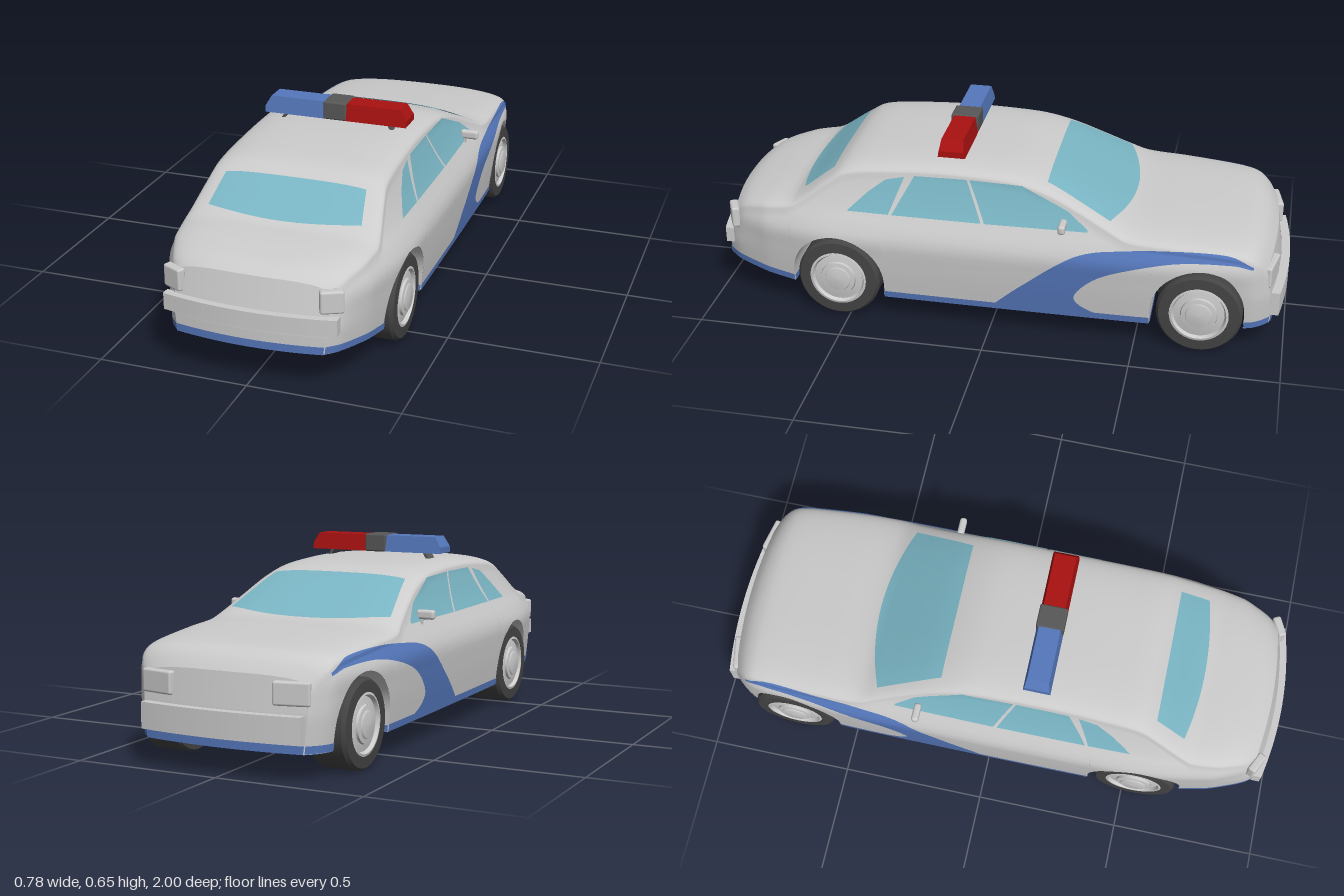
import * as THREE from 'three';
import { RoundedBoxGeometry } from 'three/addons/geometries/RoundedBoxGeometry.js';

const mat = (color) => new THREE.MeshStandardMaterial({ color, side: THREE.DoubleSide });
const GREY = mat(0xcccccc), BLUE = mat(0x5577bb), RED = mat(0xaa1111), GLASS = mat(0x7ab5c4),
  TYRE = mat(0x444444), DARK = mat(0x585858);
const lerp = THREE.MathUtils.lerp;

// Smooth interpolation through [x, y] pairs
function table(p) {
  const slope = (i) => {
    const a = p[Math.max(i - 1, 0)], b = p[Math.min(i + 1, p.length - 1)];
    return (b[1] - a[1]) / (b[0] - a[0]);
  };
  return (x) => {
    x = Math.min(Math.max(x, p[0][0]), p[p.length - 1][0]);
    let i = 0;
    while (i < p.length - 2 && x > p[i + 1][0]) i++;
    const h = p[i + 1][0] - p[i][0], t = (x - p[i][0]) / h, s = 1 - t;
    return p[i][1] * (1 + 2 * t) * s * s + p[i + 1][1] * t * t * (3 - 2 * t)
      + h * t * s * (slope(i) * s - slope(i + 1) * t);
  };
}

// Body rules: half width along z, tuck-in by height, centre line height, sill height
const width = table([[-0.97, 0.295], [-0.94, 0.325], [-0.9, 0.345], [-0.8, 0.36], [-0.6, 0.378], [-0.4, 0.383],
  [0.4, 0.383], [0.6, 0.375], [0.75, 0.35], [0.85, 0.325], [0.95, 0.288], [0.99, 0.255]]);
const tuck = table([[0.08, 0.02], [0.18, 0.008], [0.25, 0.002], [0.31, 0], [0.36, 0.02], [0.4, 0.043],
  [0.46, 0.07], [0.54, 0.1], [0.58, 0.12]]);
const top = table([[-0.97, 0.32], [-0.95, 0.35], [-0.9, 0.38], [-0.8, 0.395], [-0.6, 0.41], [-0.46, 0.42],
  [-0.4, 0.445], [-0.3, 0.492], [-0.2, 0.535], [-0.1, 0.563], [0, 0.573], [0.2, 0.577], [0.4, 0.566],
  [0.52, 0.548], [0.58, 0.51], [0.7, 0.425], [0.76, 0.412], [0.9, 0.39], [0.96, 0.374], [0.99, 0.355]]);
const sill = (z) => (z > 0.6 ? 0.105 + (z - 0.7) * 0.1 : 0.088);
const sideX = (z, y) => width(z) - tuck(y);
const FRONT = -0.97, REAR = 0.99, AXLES = [0.535, -0.715], ARCH = 0.165, HUB = 0.145;

function bottom(z) {
  for (const c of AXLES) {
    const d = Math.abs(z - c);
    if (d <= ARCH + 1e-6) return HUB + Math.sqrt(Math.max(0, ARCH * ARCH - d * d));
  }
  return sill(z);
}

// Half cross-section from the sill to the centre line
function section(z) {
  const y0 = bottom(z), yt = top(z), ye = yt - 0.05, xe = sideX(z, ye), pts = [];
  for (let i = 0; i < 16; i++) {
    const y = lerp(y0, ye, i / 16);
    pts.push([sideX(z, y), y]);
  }
  for (let i = 0; i <= 14; i++) {
    const a = (i / 14) * Math.PI / 2;
    pts.push([i === 14 ? 0 : xe * Math.cos(a) ** 0.65, ye + 0.05 * Math.sin(a) ** 0.65]);
  }
  return pts;
}

// Where the body is, seen from the side and from above
function onSide(z, y) {
  const s = section(z);
  for (let i = 1; i < s.length; i++) {
    if (s[i][1] >= y) return lerp(s[i - 1][0], s[i][0], (y - s[i - 1][1]) / (s[i][1] - s[i - 1][1]));
  }
  return 0;
}
function onTop(x, z) {
  const s = section(z);
  x = Math.abs(x);
  for (let i = s.length - 1; i > 0; i--) {
    if (s[i - 1][0] >= x) return lerp(s[i][1], s[i - 1][1], (x - s[i][0]) / (s[i - 1][0] - s[i][0]));
  }
  return s[0][1];
}

// Bows and leans the two ends
function warp(x, y, z) {
  const lean = Math.max(0, y - 0.2);
  if (z > 0.8) z -= (z - 0.8) / 0.19 * (lean * 0.25 + 0.4 * x * x);
  if (z < -0.8) z += (-z - 0.8) / 0.17 * (lean * 0.15 + 0.3 * x * x);
  return [x, y, z];
}

function grid(nu, nv, fn) {
  const pos = [], idx = [];
  for (let i = 0; i <= nu; i++) for (let j = 0; j <= nv; j++) pos.push(...warp(...fn(i / nu, j / nv)));
  for (let i = 0; i < nu; i++) for (let j = 0; j < nv; j++) {
    const a = i * (nv + 1) + j, b = a + nv + 1;
    idx.push(a, b, a + 1, b, b + 1, a + 1);
  }
  const g = new THREE.BufferGeometry();
  g.setAttribute('position', new THREE.Float32BufferAttribute(pos, 3));
  g.setIndex(idx);
  g.computeVertexNormals();
  return g;
}

function polyline(pts) {
  return (t) => {
    const f = t * (pts.length - 1), i = Math.min(Math.floor(f), pts.length - 2);
    return [lerp(pts[i][0], pts[i + 1][0], f - i), lerp(pts[i][1], pts[i + 1][1], f - i)];
  };
}
function smooth(pts) {
  const c = new THREE.SplineCurve(pts.map((p) => new THREE.Vector2(...p)));
  return (t) => c.getPoint(t).toArray();
}

export function createModel() {
  const car = new THREE.Group();
  const add = (name, geo, m, x = 0, y = 0, z = 0) => {
    const mesh = new THREE.Mesh(geo, m);
    mesh.name = name;
    mesh.position.set(x, y, z);
    car.add(mesh);
    return mesh;
  };

  // Body shell, with extra stations around the wheel arches
  const zs = [];
  for (let i = 0; i <= 100; i++) {
    const z = lerp(FRONT, REAR, i / 100);
    if (AXLES.every((c) => Math.abs(z - c) > ARCH + 0.003)) zs.push(z);
  }
  for (const c of AXLES) {
    zs.push(c - ARCH - 1e-4, c + ARCH + 1e-4);
    for (let i = 0; i <= 32; i++) zs.push(c - ARCH * Math.cos(i / 32 * Math.PI));
  }
  zs.sort((a, b) => a - b);
  const rings = zs.map((z) => {
    const s = section(z);
    return [...s, ...s.slice(0, -1).reverse().map(([x, y]) => [-x, y])].map(([x, y]) => [x, y, z]);
  });
  const nu = rings.length - 1, nv = rings[0].length - 1;
  add('bodyShell', grid(nu, nv, (u, v) => rings[Math.round(u * nu)][Math.round(v * nv)]), GREY);
  for (const [name, z] of [['noseFace', FRONT], ['tailFace', REAR]]) {
    const s = section(z), n = s.length - 1;
    add(name, grid(n, 16, (u, v) => [s[Math.round(u * n)][0] * (2 * v - 1), s[Math.round(u * n)][1], z]), GREY);
  }

  // Panels lying on the body sides, visible inside and out
  const sidePanel = (name, m, low, high, n = 24, k = 10) => {
    for (const s of [-1, 1]) for (const o of [1, -1]) {
      add(name, grid(n, k, (u, v) => {
        const a = low(u), b = high(u), z = lerp(a[0], b[0], v), y = lerp(a[1], b[1], v);
        return [s * (onSide(z, y) + o * 0.003), y + o * 0.0015, z];
      }), m);
    }
  };
  sidePanel('rearQuarterWindow', GLASS, polyline([[0.497, 0.4], [0.353, 0.4]]),
    polyline([[0.497, 0.402], [0.43, 0.465], [0.37, 0.51], [0.305, 0.524]]));
  sidePanel('rearDoorWindow', GLASS, polyline([[0.342, 0.4], [0.032, 0.4]]), polyline([[0.27, 0.53], [0.09, 0.533]]));
  sidePanel('frontDoorWindow', GLASS, polyline([[0.02, 0.4], [-0.33, 0.403]]),
    polyline([[0.08, 0.533], [-0.1, 0.53], [-0.26, 0.462], [-0.33, 0.41]]));
  sidePanel('sideSwoosh', BLUE,
    smooth([[-0.42, 0.09], [-0.316, 0.135], [-0.3, 0.187], [-0.4, 0.27], [-0.61, 0.33], [-0.82, 0.335], [-0.92, 0.318]]),
    smooth([[0, 0.09], [-0.12, 0.2], [-0.29, 0.326], [-0.476, 0.361], [-0.66, 0.372], [-0.82, 0.362], [-0.92, 0.328]]), 60, 20);
  for (const [a, b] of [[FRONT, -0.881], [-0.549, 0.369], [0.701, REAR]]) {
    sidePanel('sillTrim', BLUE, (t) => [lerp(a, b, t), sill(lerp(a, b, t))],
      (t) => [lerp(a, b, t), sill(lerp(a, b, t)) + 0.024], 24, 2);
  }
  for (const z of [FRONT, REAR]) for (const o of [-0.004, 0.004]) {
    add('bumperTrim', grid(2, 16, (u, v) => {
      const y = sill(z) + 0.026 * u;
      return [sideX(z, y) * (2 * v - 1), y, z + o];
    }), BLUE);
  }

  // Windscreen and rear window
  const screen = (name, x0, x1, z0, z1, bow) => {
    for (const o of [0.003, -0.003]) add(name, grid(16, 16, (u, v) => {
      const s = 2 * u - 1, x = s * lerp(x0, x1, v), z = lerp(z0, z1 + bow * s * s, v);
      return [x, onTop(x, z) + o, z];
    }), GLASS);
  };
  screen('windscreen', 0.25, 0.3, -0.18, -0.46, 0.06);
  screen('rearWindow', 0.24, 0.26, 0.565, 0.7, -0.03);

  // Wheel wells running across the car, with trimmed lower edges
  for (const c of AXLES) {
    const path = [[c + ARCH, sill(c + ARCH)]];
    for (let i = 0; i <= 24; i++) {
      const a = i / 24 * Math.PI;
      path.push([c + ARCH * Math.cos(a), HUB + ARCH * Math.sin(a)]);
    }
    path.push([c - ARCH, sill(c - ARCH)]);
    const n = path.length - 1;
    add('wheelWell', grid(n, 2, (u, v) => {
      const [z, y] = path[Math.round(u * n)];
      return [sideX(z, y) * (2 * v - 1), y, z];
    }), GREY);
    for (const e of [-1, 1]) for (const o of [-0.002, 0.002]) add('wellTrim', grid(1, 2, (u, v) => {
      const z = c + e * ARCH, y = sill(z) + 0.022 * u;
      return [sideX(z, y) * (2 * v - 1), y, z + o];
    }), BLUE);
  }

  // Wheels: tyre, dished rim and hub cap
  const lathe = (pts) => new THREE.LatheGeometry(pts.map((p) => new THREE.Vector2(...p)), 40).rotateZ(-Math.PI / 2);
  const tyre = lathe([[0, 0.24], [0.138, 0.24], [0.138, 0.24], [0.145, 0.248], [0.145, 0.248], [0.145, 0.355],
    [0.145, 0.355], [0.136, 0.367], [0.136, 0.367], [0.1, 0.369], [0.1, 0.369], [0.098, 0.35]]);
  const rim = lathe([[0.1, 0.368], [0.092, 0.37], [0.092, 0.37], [0.086, 0.358], [0.086, 0.358], [0.062, 0.362]]);
  const hub = lathe([[0.062, 0.358], [0.06, 0.37], [0.06, 0.37], [0.045, 0.372], [0.045, 0.372], [0.042, 0.378], [0, 0.38]]);
  for (const z of AXLES) for (const s of [0, Math.PI]) {
    for (const [name, g, m] of [['tyre', tyre, TYRE], ['rim', rim, GREY], ['hubCap', hub, GREY]]) {
      add(name, g, m, 0, HUB, z).rotation.y = s;
    }
  }

  // Bowed bumpers, with a broad panel on the nose
  const bowed = (w, h, d, k) => {
    const g = new THREE.BoxGeometry(w, h, d, 20, 1, 1).toNonIndexed(), p = g.attributes.position;
    for (let i = 0; i < p.count; i++) p.setZ(i, p.getZ(i) + k * p.getX(i) ** 2);
    g.computeVertexNormals();
    return g;
  };
  add('rearBumper', bowed(0.57, 0.055, 0.03, -0.4), GREY, 0, 0.228, 0.985);
  add('nosePanel', bowed(0.56, 0.085, 0.03, 0.3), GREY, 0, 0.163, -0.985);

  for (const s of [-1, 1]) {
    // Lamps and door mirrors
    add('tailLamp', new RoundedBoxGeometry(0.075, 0.075, 0.03, 2, 0.008), GREY, s * 0.258, 0.302, 0.937).rotation.y = s * 0.45;
    add('headLamp', new RoundedBoxGeometry(0.12, 0.075, 0.03, 2, 0.008), GREY, s * 0.235, 0.268, -0.94).rotation.y = -s * 0.2;
    add('mirror', new RoundedBoxGeometry(0.065, 0.032, 0.025, 3, 0.01), GREY, s * 0.358, 0.426, -0.248);
    add('mirrorArm', new THREE.BoxGeometry(0.02, 0.03, 0.015), GREY, s * 0.336, 0.408, -0.248);

    // Light bar half with a sloped end, and its strut
    const shape = new THREE.Shape([[0.038, 0], [0.253, 0], [0.253, 0.022], [0.232, 0.058], [0.038, 0.058]]
      .map(([x, y]) => new THREE.Vector2(s * x, y)));
    const lamp = new THREE.ExtrudeGeometry(shape, { depth: 0.094, bevelEnabled: false }).translate(0, 0, -0.047);
    const p = lamp.attributes.position;
    for (let i = 0; i < p.count; i++) p.setZ(i, p.getZ(i) * (1 - 3.5 * p.getY(i)));
    lamp.computeVertexNormals();
    add(s > 0 ? 'redLamp' : 'blueLamp', lamp, s > 0 ? RED : BLUE, 0, 0.592, 0.15);
    add('lightBarStrut', new THREE.BoxGeometry(0.01, 0.045, 0.05), DARK, s * 0.19, 0.58, 0.15).rotation.z = s * 0.55;
  }
  add('lightBarCentre', new RoundedBoxGeometry(0.082, 0.063, 0.096, 2, 0.006), DARK, 0, 0.622, 0.15);
  return car;
}
